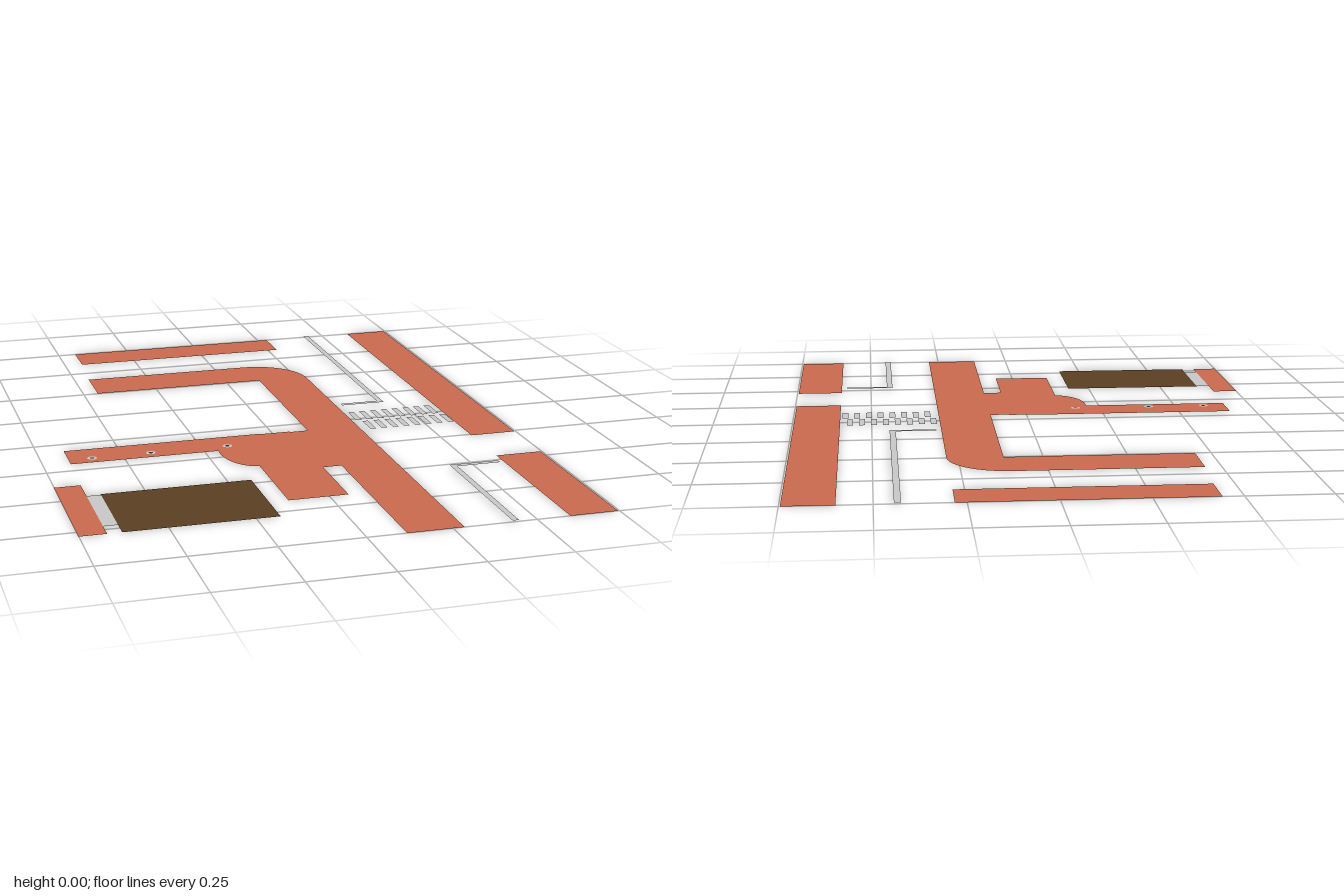
import * as THREE from 'three';

const material = (color) => new THREE.MeshStandardMaterial({ color, side: THREE.DoubleSide });

export function createModel() {
  const model = new THREE.Group();
  const coral = material(0xcc6b50);
  const brown = material(0x5c4022);
  const grey = material(0xcccccc);
  const dark = material(0x2a2a2a);
  const RAISED = 0.004;

  // Flat sheet drawn in plan: shape coordinates are (x, -z)
  function sheet(name, geometry, mat, y = 0, parent = model) {
    geometry.rotateX(-Math.PI / 2);
    const mesh = new THREE.Mesh(geometry, mat);
    mesh.name = name;
    mesh.position.y = y;
    parent.add(mesh);
    return mesh;
  }
  function rect(name, x0, x1, z0, z1, mat, y = 0, parent = model) {
    const g = new THREE.PlaneGeometry(x1 - x0, z1 - z0);
    g.translate((x0 + x1) / 2, -(z0 + z1) / 2, 0);
    return sheet(name, g, mat, y, parent);
  }
  function outline(points) {
    return new THREE.Shape(points.map(([x, z]) => new THREE.Vector2(x, -z)));
  }

  // Main walkway with rounded corner, side arm and bulging forecourt
  const path = new THREE.Shape();
  const line = (...pts) => pts.forEach(([x, z]) => path.lineTo(x, -z));
  path.moveTo(-0.452, 0.672);
  line([0.1, -0.672]);
  path.bezierCurveTo(0.2, 0.672, 0.284, 0.6, 0.284, 0.49);
  line([0.284, 1], [0.116, 1], [0.116, 0.422], [0.058, 0.422], [0.058, 0.667],
    [-0.123, 0.667], [-0.123, 0.362]);
  path.bezierCurveTo(-0.18, -0.35, -0.215, -0.28, -0.208, -0.19);
  line([-0.667, 0.19], [-0.667, 0.064], [-0.04, 0.064], [-0.035, 0.068], [0.055, 0.068],
    [0.06, 0.073], [0.116, 0.073], [0.116, -0.502], [-0.452, -0.502]);
  path.closePath();
  sheet('mainWalkway', new THREE.ShapeGeometry(path, 16), coral);

  // Separate pavement strips
  rect('backPavement', -0.44, 0.283, -1, -0.862, coral);
  rect('longSidePavement', 0.6, 0.746, -1, 0.26, coral);
  rect('shortSidePavement', 0.6, 0.746, 0.463, 1, coral);

  // Brown plot with its step and pavement
  rect('plot', -0.63, -0.18, 0.471, 0.783, brown);
  rect('plotStep', -0.672, -0.63, 0.476, 0.725, grey);
  rect('plotPavement', -0.751, -0.672, 0.381, 0.783, coral);

  // Angled lane lines
  sheet('backLaneLine', new THREE.ShapeGeometry(outline([
    [0.426, -1], [0.445, -1], [0.445, -0.138], [0.3, -0.138], [0.3, -0.156], [0.426, -0.156],
  ])), grey, RAISED);
  sheet('frontLaneLine', new THREE.ShapeGeometry(outline([
    [0.426, 1], [0.426, 0.516], [0.583, 0.516], [0.583, 0.534], [0.445, 0.534], [0.445, 1],
  ])), grey, RAISED);

  // Two staggered rows of crossing stripes
  const crossing = new THREE.Group();
  crossing.name = 'crossing';
  model.add(crossing);
  for (const [x, z0, z1] of [[0.304, -0.061, 0.026], [0.32, 0.04, 0.122]]) {
    for (let i = 0; i < 8; i++) {
      const c = x + i * 0.0377;
      rect('crossingStripe', c - 0.0095, c + 0.0095, z0, z1, grey, RAISED, crossing);
    }
  }

  // Small planting pits on the side arm
  for (const x of [-0.595, -0.412, -0.169]) {
    const pit = new THREE.Group();
    pit.name = 'plantingPit';
    pit.position.set(x, 0, 0.153);
    model.add(pit);
    sheet('pitRim', new THREE.RingGeometry(0.007, 0.015, 16), grey, 0.001, pit);
    sheet('pitCentre', new THREE.CircleGeometry(0.007, 16), dark, 0.001, pit);
  }
  return model;
}
